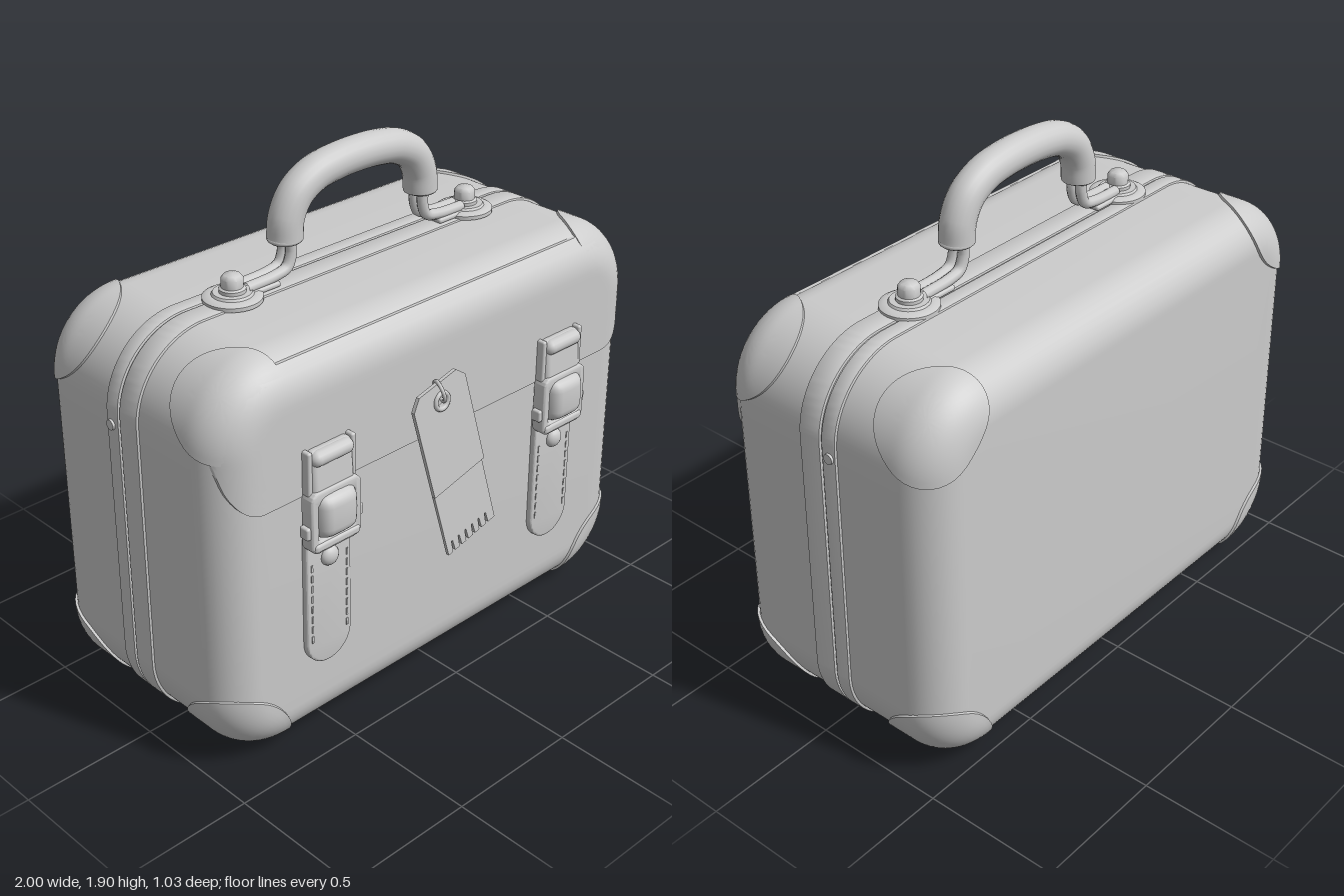
import * as THREE from 'three';
import { toCreasedNormals, mergeVertices } from 'three/addons/utils/BufferGeometryUtils.js';
import { RoundedBoxGeometry } from 'three/addons/geometries/RoundedBoxGeometry.js';

const mat = new THREE.MeshStandardMaterial({ color: 0xcccccc, side: THREE.DoubleSide });
// Case: half sizes, centre, outline corner radius, edge rounding
const W = 0.982, H = 0.73, D = 0.46, CY = 0.75, CZ = -0.05, R = 0.28, E = 0.15;

function add(parent, name, geo, x = 0, y = 0, z = 0) {
  const mesh = new THREE.Mesh(geo, mat);
  mesh.name = name;
  mesh.position.set(x, y, z);
  parent.add(mesh);
  return mesh;
}

function roundRect(w, h, r, P = THREE.Shape) {
  const s = new P();
  s.absarc(w - r, h - r, r, 0, Math.PI / 2);
  s.absarc(-w + r, h - r, r, Math.PI / 2, Math.PI);
  s.absarc(-w + r, -h + r, r, Math.PI, Math.PI * 1.5);
  s.absarc(w - r, -h + r, r, Math.PI * 1.5, Math.PI * 2);
  s.closePath();
  return s;
}

// Extrusion from z = 0 to depth, with the bevel kept inside that depth
function extrude(shape, depth, bevel, segs = 3) {
  const g = new THREE.ExtrudeGeometry(shape, {
    depth: depth - 2 * bevel, bevelThickness: bevel, bevelSize: bevel,
    bevelEnabled: bevel > 0, bevelSegments: segs, curveSegments: 14,
  });
  g.translate(0, 0, bevel);
  return toCreasedNormals(g, 0.6);
}

// Distance to the case surface, in its own centred frame
function outline(x, y) {
  const a = Math.abs(x) - W + R, b = Math.abs(y) - H + R;
  return Math.hypot(Math.max(a, 0), Math.max(b, 0)) + Math.min(Math.max(a, b), 0) - R;
}
function caseDistance(p) {
  const a = outline(p.x, p.y) + E, b = Math.abs(p.z) - D + E;
  return Math.hypot(Math.max(a, 0), Math.max(b, 0)) + Math.min(Math.max(a, b), 0) - E;
}

// Surface from a rule over rows and columns
function grid(rows, cols, fn) {
  const pos = [], idx = [];
  for (let i = 0; i <= rows; i++)
    for (let j = 0; j <= cols; j++) {
      pos.push(...fn(i, j).toArray());
      if (i < rows && j < cols) {
        const a = i * (cols + 1) + j, b = a + cols + 1;
        idx.push(a, b, b + 1, a, b + 1, a + 1);
      }
    }
  const g = new THREE.BufferGeometry();
  g.setAttribute('position', new THREE.Float32BufferAttribute(pos, 3));
  g.setIndex(idx);
  return toCreasedNormals(mergeVertices(g), 0.7);
}

// Corner cap: the case surface within a fixed reach of the corner, slightly raised
function cornerCap() {
  const from = new THREE.Vector3(0.7, 0.45, 0.18), corner = new THREE.Vector3(W, H, D);
  const n = new THREE.Vector3(1, 1, 1).normalize(), e1 = new THREE.Vector3(1, -1, 0).normalize();
  const e2 = n.clone().cross(e1);
  const hit = (theta, phi, lift) => {
    const d = n.clone().multiplyScalar(Math.cos(theta))
      .addScaledVector(e1, Math.sin(theta) * Math.cos(phi))
      .addScaledVector(e2, Math.sin(theta) * Math.sin(phi));
    const p = from.clone();
    for (let k = 0; k < 40; k++) p.addScaledVector(d, lift - caseDistance(p));
    return p;
  };
  const N = 11, M = 48, reach = [];
  for (let j = 0; j <= M; j++) {
    let lo = 0, hi = 1.4;
    for (let k = 0; k < 18; k++) {
      const mid = (lo + hi) / 2;
      if (hit(mid, (j % M) / M * Math.PI * 2, 0).distanceTo(corner) < 0.29) lo = mid; else hi = mid;
    }
    reach.push(lo);
  }
  return grid(N, M, (i, j) =>
    hit(reach[j] * Math.min(i / (N - 1), 1), (j % M) / M * Math.PI * 2, i === N ? -0.01 : 0.009));
}

// Front flap following the rounded top edge, with rounded lower corners
function flapGeometry() {
  const rows = 30, cols = 48, r = 0.13, bottom = 0.99 - CY;
  return grid(rows, cols, (i, j) => {
    const s = 1 - Math.min(Math.max(i - 1, 0) / (rows - 2), 1);
    const dy = (0.70 - bottom) * s * s, y = bottom + dy;
    let w = 0.93 - r + Math.sqrt(r * r - Math.max(r - dy, 0) ** 2);
    w += 0.032 * THREE.MathUtils.smoothstep(dy, 0.05, 0.25);
    if (y > H - R) w = Math.min(w, W - R + Math.sqrt(0.26 ** 2 - (y - H + R) ** 2));
    const u = Math.min(Math.max(j - 1, 0) / (cols - 2), 1) * 2 - 1;
    const x = w * Math.sin(u * Math.PI / 2);
    const fall = Math.max(Math.min(outline(x, y), 0) + E, 0);
    const rim = i === 0 || i === rows || j === 0 || j === cols;
    return new THREE.Vector3(x, y, D - E + Math.sqrt(E * E - fall * fall) + (rim ? -0.008 : 0.012));
  });
}

function buildCase(root) {
  const body = new THREE.Group();
  body.name = 'case';
  body.position.set(0, CY, CZ);
  root.add(body);
  add(body, 'shell', extrude(roundRect(W - E, H - E, R - E), 2 * D, E, 10), 0, 0, -D);
  // Two raised bands around the middle with a seam between
  for (const [z0, z1] of [[-0.125, -0.066], [-0.058, 0.03]])
    add(body, 'middleBand', extrude(roundRect(W + 0.004, H + 0.002, R), z1 - z0, 0.006, 2), 0, 0, z0 - CZ);
  add(body, 'flap', flapGeometry());
  const cap = cornerCap();
  for (const x of [-1, 1]) for (const y of [-1, 1]) for (const z of [-1, 1])
    add(body, 'cornerCap', cap).scale.set(x, y, z);
  for (const s of [-1, 1]) {
    const stud = add(body, 'sideStud', new THREE.CylinderGeometry(0.018, 0.022, 0.03, 16), s * 0.985, 0.42, -0.05);
    stud.rotation.z = -s * Math.PI / 2;
    // Thin runners underneath with rounded ends
    add(body, 'footRunner', new RoundedBoxGeometry(0.022, 0.02, 0.46, 3, 0.009), s * 0.62, -0.74, 0.03);
    for (const z of [-0.2, 0.26])
      add(body, 'footStud', new THREE.SphereGeometry(0.035, 16, 10), s * 0.62, -0.733, z).scale.y = 0.48;
  }
}

function buildHandle(root) {
  const handle = new THREE.Group();
  handle.name = 'handle';
  handle.position.z = -0.027;
  root.add(handle);
  const half = [[0.313, 1.63], [0.305, 1.7], [0.265, 1.77], [0.19, 1.815], [0.1, 1.833]];
  const pts = [...half.map(([x, y]) => [-x, y]), [0, 1.838], ...half.slice().reverse()];
  const path = new THREE.CatmullRomCurve3(pts.map(([x, y]) => new THREE.Vector3(x, y, 0)));
  add(handle, 'grip', new THREE.TubeGeometry(path, 60, 0.061, 20));
  for (const s of [-1, 1]) {
    add(handle, 'gripEnd', new THREE.SphereGeometry(0.061, 20, 12), s * 0.313, 1.63, 0).scale.y = 0.35;
    // Twin rods bending outward into the mounting plate
    const rod = new THREE.CatmullRomCurve3([[0.308, 1.64], [0.305, 1.58], [0.325, 1.535], [0.38, 1.52], [0.5, 1.515]]
      .map(([x, y]) => new THREE.Vector3(s * x, y, 0)));
    for (const z of [-0.02, 0.02])
      add(handle, 'rod', new THREE.TubeGeometry(rod, 24, 0.02, 10), 0, 0, z);
    const plate = [[0, 0], [0.1, 0], [0.1, 0.014], [0.085, 0.022], [0.07, 0.022], [0.065, 0.03], [0, 0.03]];
    const lathe = new THREE.LatheGeometry(plate.map(p => new THREE.Vector2(...p)), 36);
    add(handle, 'mountPlate', toCreasedNormals(lathe, 0.5), s * 0.54, 1.483, 0);
    add(handle, 'plateTongue', new RoundedBoxGeometry(0.14, 0.02, 0.09, 3, 0.009), s * 0.44, 1.498, 0);
    const knob = [[0.045, 0], [0.045, 0.015], [0.037, 0.02], [0.037, 0.05], [0.028, 0.062], [0, 0.066]];
    const top = new THREE.LatheGeometry(knob.map(p => new THREE.Vector2(...p)), 24);
    add(handle, 'mountKnob', toCreasedNormals(top, 0.8), s * 0.54, 1.51, 0);
  }
}

function buildStrap(root, x) {
  const strap = new THREE.Group();
  strap.name = 'strap';
  strap.position.x = x;
  root.add(strap);
  // Hanging leather tongue with a rounded end and stitching
  const shape = new THREE.Shape();
  shape.moveTo(0.09, 0.85);
  shape.lineTo(-0.09, 0.85);
  shape.absarc(0, 0.41, 0.09, Math.PI, Math.PI * 2);
  shape.closePath();
  add(strap, 'leather', extrude(shape, 0.03, 0.008), 0, 0, 0.402);
  for (const s of [-1, 1])
    for (let y = 0.43; y < 0.75; y += 0.04)
      add(strap, 'stitch', new THREE.BoxGeometry(0.007, 0.026, 0.006), s * 0.077, y, 0.432);
  add(strap, 'rivet', new THREE.SphereGeometry(0.036, 20, 12), 0, 0.73, 0.432).scale.z = 0.7;
  // Leather loop above the buckle
  add(strap, 'upperLoop', new RoundedBoxGeometry(0.18, 0.18, 0.05, 4, 0.022), 0, 1.06, 0.435).rotation.x = -0.08;
  add(strap, 'upperFold', new THREE.CapsuleGeometry(0.028, 0.12, 6, 14), 0, 1.122, 0.445).rotation.z = Math.PI / 2;
  for (const s of [-1, 1])
    add(strap, 'loopSide', new RoundedBoxGeometry(0.02, 0.16, 0.045, 3, 0.008), s * 0.093, 1.075, 0.43);
  // Buckle frame, bulging pad and pins
  const frame = roundRect(0.1, 0.105, 0.025);
  frame.holes.push(roundRect(0.085, 0.075, 0.015, THREE.Path));
  add(strap, 'buckleFrame', extrude(frame, 0.055, 0.008), 0, 0.9, 0.418);
  const pad = add(strap, 'bucklePad', new THREE.SphereGeometry(1, 28, 18), 0, 0.915, 0.435);
  const p = pad.geometry.attributes.position;
  const sq = (v, k) => Math.sign(v) * Math.abs(v) ** 0.45 * k;
  for (let i = 0; i < p.count; i++)
    p.setXYZ(i, sq(p.getX(i), 0.085), sq(p.getY(i), 0.085), p.getZ(i) * 0.072);
  pad.geometry.computeVertexNormals();
  add(strap, 'buckleBar', new RoundedBoxGeometry(0.2, 0.035, 0.035, 3, 0.014), 0, 0.81, 0.462);
  for (const s of [-1, 1])
    add(strap, 'bucklePin', new RoundedBoxGeometry(0.022, 0.045, 0.04, 3, 0.008), s * 0.112, 0.87, 0.445);
}

function buildTag(root) {
  const tag = new THREE.Group();
  tag.name = 'tag';
  tag.position.set(-0.075, 1.13, 0.452);
  tag.rotation.set(-0.06, 0, 0.24);
  root.add(tag);
  const card = new THREE.Shape([[-0.125, -0.33], [0.125, -0.33], [0.125, 0.03], [0.09, 0.07], [-0.09, 0.07], [-0.125, 0.03]]
    .map(q => new THREE.Vector2(...q)));
  card.holes.push(new THREE.Path().absarc(0, 0, 0.02, 0, Math.PI * 2));
  add(tag, 'tagCard', extrude(card, 0.014, 0));
  // Lower slip with a notched edge
  const slip = new THREE.Shape();
  slip.moveTo(0.12, -0.3);
  slip.lineTo(-0.12, -0.3);
  for (let i = 0; i < 7; i++) {
    const x = -0.12 + i * 0.0343;
    slip.lineTo(x, -0.595);
    slip.lineTo(x + 0.022, -0.595);
    if (i < 6) {
      slip.lineTo(x + 0.026, -0.55);
      slip.lineTo(x + 0.032, -0.55);
    }
  }
  slip.lineTo(0.12, -0.595);
  slip.closePath();
  add(tag, 'tagSlip', extrude(slip, 0.012, 0), 0, 0, -0.006);
  add(tag, 'eyelet', new THREE.TorusGeometry(0.029, 0.009, 8, 24), 0, 0, 0.014);
  const cord = add(tag, 'cordLoop', new THREE.TorusGeometry(0.036, 0.007, 8, 24), 0.004, 0.036, 0.01);
  cord.rotation.y = 1.2;
}

export function createModel() {
  const root = new THREE.Group();
  root.name = 'suitcase';
  buildCase(root);
  buildHandle(root);
  for (const s of [-1, 1]) buildStrap(root, s * 0.552);
  buildTag(root);
  return root;
}
